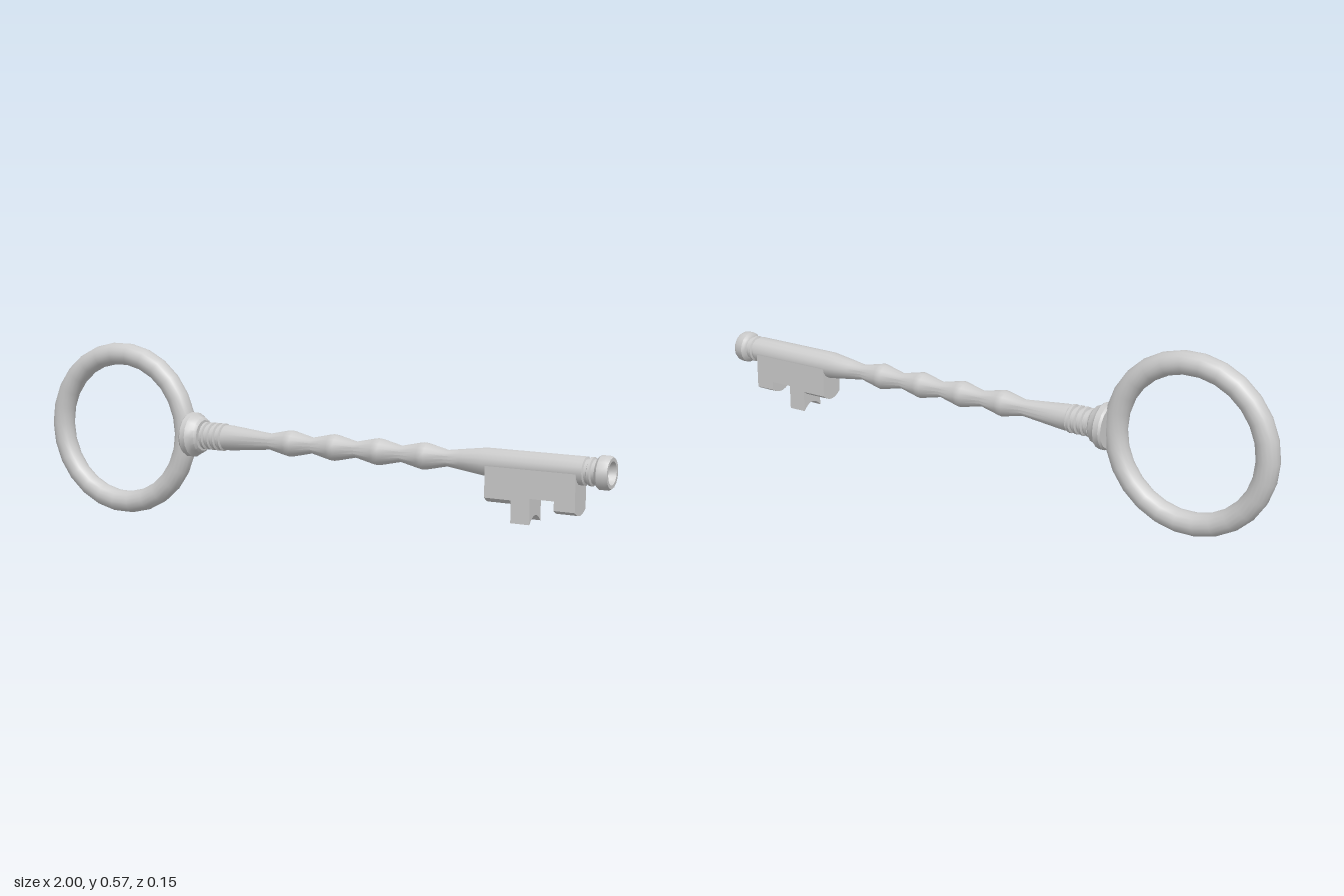
import * as THREE from 'three';
import { toCreasedNormals } from 'three/addons/utils/BufferGeometryUtils.js';

const AXIS_Y = 0.29;

export function createModel() {
  const group = new THREE.Group();
  const material = new THREE.MeshStandardMaterial({ color: 0xcccccc });

  const add = (name, geometry, x = 0, y = AXIS_Y) => {
    const mesh = new THREE.Mesh(geometry, material);
    mesh.name = name;
    mesh.position.set(x, y, 0);
    group.add(mesh);
  };

  // Turned part along x, from [x, radius] pairs
  const turned = (name, profile, crease = 0.6) => {
    const points = profile.map(([x, r]) => new THREE.Vector2(r, x));
    const geometry = new THREE.LatheGeometry(points, 16).rotateZ(-Math.PI / 2);
    add(name, toCreasedNormals(geometry, crease));
  };

  // Round bow
  add('bow', new THREE.TorusGeometry(0.249, 0.036, 16, 26), -0.715);

  // Flared collar where the bow meets the shaft
  turned('collar', [
    [-0.45, 0], [-0.45, 0.068], [-0.443, 0.073], [-0.425, 0.073], [-0.413, 0.062],
    [-0.4, 0.058], [-0.393, 0.05], [-0.392, 0],
  ]);

  // Four ribs behind the collar
  const ribs = [[-0.395, 0.036]];
  for (let i = 0; i < 4; i++) {
    const x = -0.39 + i * 0.0215;
    ribs.push([x, 0.038], [x + 0.003, 0.045], [x + 0.012, 0.045], [x + 0.015, 0.038]);
  }
  turned('ribs', [...ribs, [-0.3, 0.038]]);

  // Shaft with four swellings, plain barrel, tip grooves and hollow end
  const shaft = [[-0.31, 0.036], [-0.308, 0.041], [-0.29, 0.041], [-0.14, 0.026]];
  for (let i = 0; i < 4; i++) {
    const x = -0.065 + i * 0.156;
    shaft.push([x - 0.012, 0.04], [x, 0.042], [x + 0.012, 0.04], [x + 0.078, 0.025]);
  }
  shaft.push(
    [0.53, 0.032], [0.61, 0.043], [0.922, 0.043], [0.925, 0.037], [0.933, 0.037],
    [0.936, 0.043], [0.944, 0.043], [0.947, 0.037], [0.957, 0.037], [0.961, 0.046],
    [0.968, 0.051], [0.99, 0.051], [1, 0.046], [1, 0.035], [0.985, 0.031],
    [0.95, 0.016], [0.94, 0],
  );
  turned('shaft', shaft);

  // Bit steps: start x, end x, bottom at the sides, bottom in the middle
  const steps = [
    [0.62, 0.705, 0.19, 0.172],
    [0.705, 0.765, 0.122, 0.145],
    [0.765, 0.84, 0.2, 0.21],
    [0.84, 0.905, 0.172, 0.157],
  ];
  const w = 0.042;
  for (const [x0, x1, side, middle] of steps) {
    const shape = new THREE.Shape();
    shape.moveTo(w, AXIS_Y);
    shape.lineTo(-w, AXIS_Y);
    shape.lineTo(-w, side);
    shape.quadraticCurveTo(0, 2 * middle - side, w, side);
    const geometry = new THREE.ExtrudeGeometry(shape, {
      depth: x1 - x0, bevelEnabled: false, curveSegments: 10,
    }).rotateY(Math.PI / 2);
    add('bit', toCreasedNormals(geometry, 0.5), x0, 0);
  }

  return group;
}
